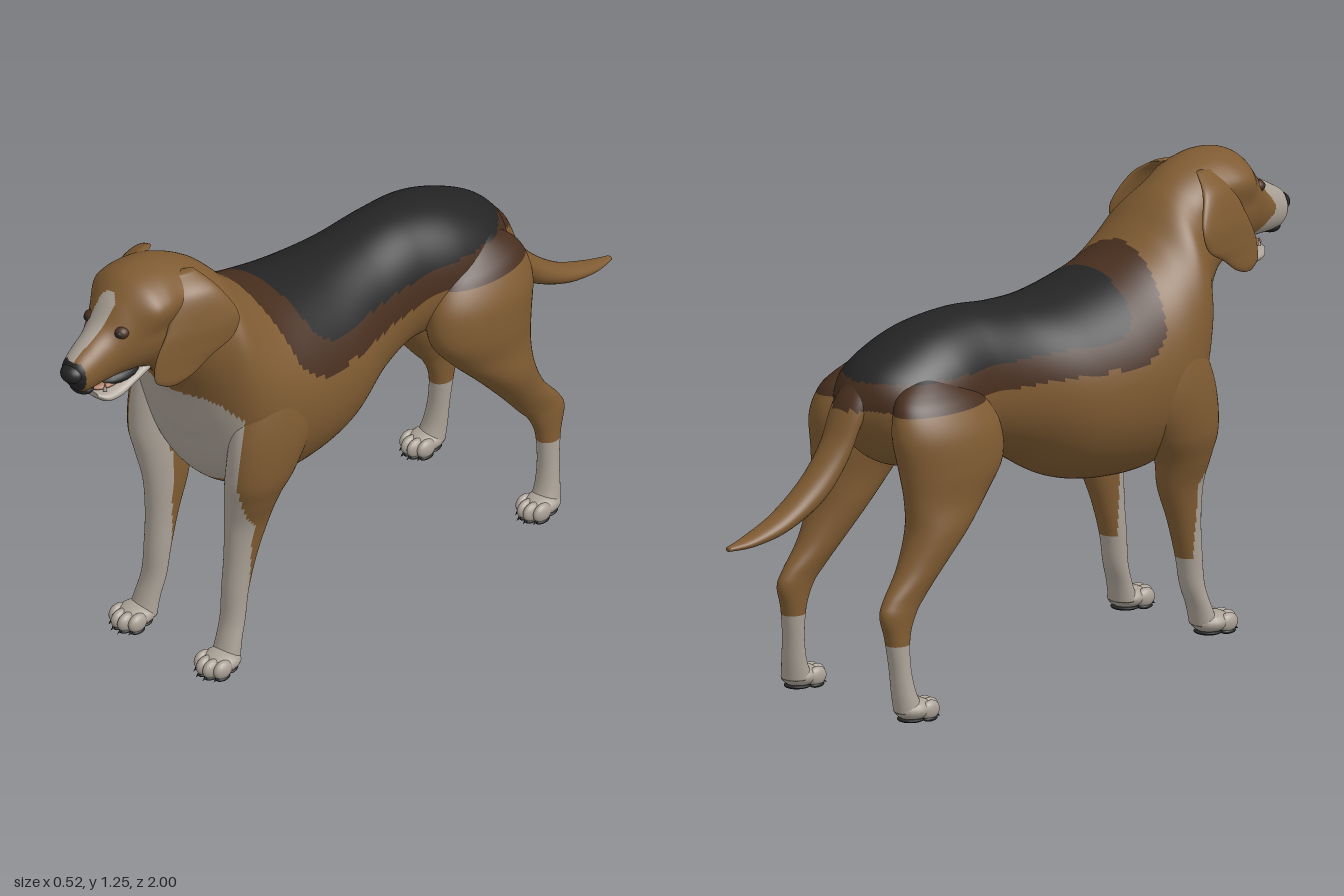
import * as THREE from 'three';

const mat = (name, color) => Object.assign(new THREE.MeshStandardMaterial({ color }), { name });
const tan = mat('tan coat', 0x7f5b32);
const white = mat('white coat', 0xaaa196);
const black = mat('black', 0x242424);
const brown = mat('dark brown', 0x472e1e);
const pink = mat('tongue', 0xa8775a);
const COAT = [tan, white, black, brown];

// Saddle outline seen from the side: a band above yMin and behind zMax with a rounded corner
function inSaddle(p, yMin, zMax, r) {
  const y = p.y - yMin, z = zMax + 0.23 * (p.y - 0.87) - p.z;
  if (y < 0 || z < 0) return false;
  return !(y < r && z < r && Math.hypot(r - y, r - z) > r);
}

// Stripe on the face, narrower and rounded at the brow, beside the nose below
function inBlaze(p) {
  if (p.z < 0.77 || p.y < 0.99) return false;
  if (p.y > 1.18) return Math.hypot(p.x + 0.002, p.y - 1.18) < 0.031;
  const left = THREE.MathUtils.mapLinear(p.y, 0.99, 1.18, -0.047, -0.032);
  return p.x > left && p.x < (p.y > 1.08 ? 0.028 : 0);
}

// Index into COAT for a point on the body
function coatAt(p) {
  const ax = Math.abs(p.x);
  if (p.z > 0.957 && p.y < 1.08) return 2;
  if (inBlaze(p)) return 1;
  if (p.y < 0.215) return 1;
  const bibTop = 0.825 - 0.06 * (Math.max(0, ax - 0.12) / 0.08) ** 2;
  if (p.z > 0.475 && ax < 0.2 && p.y < bibTop) return 1;
  if (p.z > -0.57 && inSaddle(p, 0.875, 0.237, 0.07)) return 2;
  if (inSaddle(p, 0.805, 0.335, 0.1)) return 3;
  return 0;
}

const spline = (a, b, c, d, t) =>
  0.5 * (2 * b + (c - a) * t + (2 * a - 5 * b + 4 * c - d) * t * t + (3 * b - a - 3 * c + d) * t * t * t);

// Smooth skin over sections [x, yA, zA, yB, zB, halfWidth]; A and B are opposite points of each ring
function loft(name, sections, { steps = 8, sides = 48, warp = null, material = null, side = 1 } = {}) {
  const rings = [], last = sections.length - 1;
  for (let i = 0; i < last; i++) {
    const q = [i - 1, i, i + 1, i + 2].map(k => sections[Math.min(last, Math.max(0, k))]);
    for (let k = 0; k < steps; k++) rings.push(q[0].map((_, n) => spline(q[0][n], q[1][n], q[2][n], q[3][n], k / steps)));
  }
  rings.push(sections[last]);
  // Collapsed rings close both ends
  const point = ([x, yA, zA, yB, zB]) => [x, (yA + yB) / 2, (zA + zB) / 2, (yA + yB) / 2, (zA + zB) / 2, 0];
  rings.unshift(point(rings[0]));
  rings.push(point(sections[last]));

  const verts = [];
  for (const [x, yA, zA, yB, zB, w] of rings) {
    for (let j = 0; j < sides; j++) {
      const t = (j / sides) * Math.PI * 2, c = Math.cos(t) / 2;
      const v = new THREE.Vector3(side * x + Math.sin(t) * w, (yA + yB) / 2 + c * (yA - yB), (zA + zB) / 2 + c * (zA - zB));
      if (warp) warp(v);
      verts.push(v);
    }
  }
  // Sort faces into one group per coat colour
  const faces = COAT.map(() => []);
  for (let i = 0; i < rings.length - 1; i++) {
    for (let j = 0; j < sides; j++) {
      const a = i * sides + j, b = i * sides + (j + 1) % sides, c = a + sides, d = b + sides;
      const mid = verts[a].clone().add(verts[b]).add(verts[c]).add(verts[d]).divideScalar(4);
      const list = faces[material ? 0 : coatAt(mid)];
      if (i < rings.length - 2) list.push(a, c, d);
      if (i > 0) list.push(a, d, b);
    }
  }
  const geo = new THREE.BufferGeometry().setFromPoints(verts);
  geo.setIndex(faces.flat());
  let start = 0;
  faces.forEach((f, m) => { if (f.length) geo.addGroup(start, f.length, m); start += f.length; });
  geo.computeVertexNormals();
  const mesh = new THREE.Mesh(geo, material ? [material] : COAT);
  mesh.name = name;
  return mesh;
}

function blob(name, material, pos, radii, rotX = 0) {
  const mesh = new THREE.Mesh(new THREE.SphereGeometry(1, 18, 12), material);
  mesh.name = name;
  mesh.position.set(...pos);
  mesh.scale.set(...radii);
  mesh.rotation.x = rotX;
  return mesh;
}

// Foot with four toes, claws and a dark sole
function paw(name, x, z, width) {
  const g = new THREE.Group();
  g.name = name;
  g.add(blob('foot', white, [0, 0.034, -0.012], [width, 0.029, 0.055]));
  for (let i = 0; i < 4; i++) {
    const u = i / 1.5 - 1, reach = 0.036 - 0.018 * u * u;
    g.add(blob('toe', white, [u * width * 0.72, 0.031, reach], [width * 0.34, 0.026, 0.031]));
    const claw = new THREE.Mesh(new THREE.ConeGeometry(0.006, 0.022, 8), black);
    claw.name = 'claw';
    claw.position.set(u * width * 0.74, 0.013, reach + 0.026);
    claw.rotation.x = 2.1;
    g.add(claw);
    g.add(blob('toePad', black, [u * width * 0.72, 0.008, reach], [width * 0.28, 0.008, 0.024]));
  }
  g.add(blob('solePad', black, [0, 0.008, -0.02], [width * 0.78, 0.008, 0.038]));
  g.position.set(x, 0, z);
  return g;
}

// Broadens the crown of the skull between the ears
function broadenSkull(v) {
  const s = THREE.MathUtils.smoothstep;
  v.x *= 1 + 0.34 * s(v.y, 1.1, 1.2) * s(v.z, 0.53, 0.63) * (1 - s(v.z, 0.74, 0.83));
}

export function createModel() {
  const dog = new THREE.Group();
  dog.name = 'dog';

  // Trunk, neck and head: A is the top line, B the underside
  dog.add(loft('bodyAndHead', [
    [0.01, 0.81, -0.6, 0.71, -0.555, 0.04],
    [0, 0.885, -0.555, 0.65, -0.5, 0.12],
    [0, 0.935, -0.48, 0.62, -0.42, 0.17],
    [0, 0.985, -0.35, 0.62, -0.3, 0.178],
    [0, 1.002, -0.2, 0.615, -0.18, 0.165],
    [0, 0.988, -0.05, 0.57, -0.05, 0.185],
    [0, 0.985, 0.1, 0.487, 0.1, 0.232],
    [0, 1.01, 0.25, 0.455, 0.25, 0.253],
    [0, 1.045, 0.35, 0.46, 0.4, 0.252],
    [0, 1.1, 0.42, 0.53, 0.5, 0.235],
    [0, 1.15, 0.47, 0.68, 0.555, 0.208],
    [0, 1.185, 0.51, 0.82, 0.595, 0.162],
    [0, 1.222, 0.57, 0.91, 0.66, 0.125],
    [0, 1.245, 0.64, 0.95, 0.72, 0.112],
    [0.003, 1.249, 0.7, 0.968, 0.76, 0.112],
    [0.006, 1.238, 0.76, 0.975, 0.79, 0.105],
    [0.01, 1.2, 0.81, 0.98, 0.82, 0.087],
    [0.014, 1.145, 0.86, 0.98, 0.87, 0.065],
    [0.018, 1.11, 0.92, 0.98, 0.925, 0.054],
    [0.021, 1.083, 0.965, 0.985, 0.95, 0.044],
    [0.023, 1.055, 0.985, 1.01, 0.972, 0.024],
  ], { steps: 12, sides: 120, warp: broadenSkull }));

  // Tail, base to tip
  dog.add(loft('tail', [
    [0.005, 0.78, -0.5, 0.9, -0.53, 0.06],
    [0.01, 0.76, -0.56, 0.83, -0.6, 0.056],
    [0.013, 0.66, -0.61, 0.725, -0.65, 0.05],
    [0.016, 0.57, -0.69, 0.64, -0.72, 0.047],
    [0.02, 0.512, -0.81, 0.565, -0.82, 0.04],
    [0.022, 0.493, -0.92, 0.523, -0.925, 0.028],
    [0.022, 0.495, -0.998, 0.507, -0.998, 0.009],
  ], { steps: 8, sides: 32 }));

  for (const side of [1, -1]) {
    const label = side > 0 ? 'left' : 'right';

    // Legs, top to bottom: A is the front edge, B the back edge
    dog.add(loft(label + 'FrontLeg', [
      [0.15, 0.9, 0.45, 0.9, 0.34, 0.04],
      [0.17, 0.82, 0.49, 0.82, 0.29, 0.068],
      [0.183, 0.7, 0.53, 0.7, 0.26, 0.078],
      [0.18, 0.58, 0.543, 0.58, 0.32, 0.074],
      [0.165, 0.5, 0.533, 0.5, 0.365, 0.063],
      [0.15, 0.42, 0.523, 0.42, 0.385, 0.05],
      [0.145, 0.32, 0.52, 0.32, 0.425, 0.041],
      [0.143, 0.22, 0.526, 0.22, 0.455, 0.037],
      [0.145, 0.14, 0.532, 0.14, 0.47, 0.036],
      [0.15, 0.08, 0.55, 0.08, 0.49, 0.038],
      [0.153, 0.03, 0.57, 0.03, 0.5, 0.042],
    ], { side }));
    dog.add(paw(label + 'FrontPaw', side * 0.157, 0.567, 0.05));

    dog.add(loft(label + 'HindLeg', [
      [0.1, 0.89, -0.36, 0.89, -0.46, 0.035],
      [0.125, 0.85, -0.3, 0.85, -0.52, 0.055],
      [0.143, 0.81, -0.255, 0.81, -0.55, 0.072],
      [0.157, 0.74, -0.215, 0.74, -0.563, 0.09],
      [0.167, 0.65, -0.215, 0.65, -0.548, 0.089],
      [0.175, 0.57, -0.275, 0.57, -0.538, 0.077],
      [0.183, 0.49, -0.355, 0.49, -0.54, 0.073],
      [0.187, 0.4, -0.44, 0.4, -0.58, 0.053],
      [0.191, 0.33, -0.5, 0.33, -0.638, 0.036],
      [0.194, 0.29, -0.535, 0.29, -0.655, 0.032],
      [0.196, 0.23, -0.562, 0.23, -0.638, 0.03],
      [0.201, 0.15, -0.567, 0.15, -0.625, 0.03],
      [0.207, 0.08, -0.555, 0.08, -0.62, 0.034],
      [0.212, 0.03, -0.53, 0.03, -0.615, 0.04],
    ], { side }));
    dog.add(paw(label + 'HindPaw', side * 0.214, -0.548, 0.045));

    // Hanging ear, growing out of the crown and flared outward at the back
    dog.add(loft(label + 'Ear', [
      [0.03, 1.222, 0.645, 1.222, 0.58, 0.012],
      [0.078, 1.18, 0.675, 1.18, 0.55, 0.02],
      [0.106, 1.1, 0.715, 1.1, 0.512, 0.018],
      [0.114, 1.04, 0.748, 1.04, 0.53, 0.015],
      [0.117, 0.995, 0.76, 1.0, 0.595, 0.013],
      [0.12, 0.962, 0.756, 0.962, 0.65, 0.011],
      [0.121, 0.945, 0.73, 0.945, 0.69, 0.006],
    ], { side, material: tan, warp: v => { v.x += side * (0.76 - v.z) * 0.28; } }));

    // Sunken eye with a dark rim
    dog.add(blob(label + 'EyeRim', brown, [0.011 + side * 0.054, 1.13, 0.829], [0.022, 0.018, 0.021]));
    dog.add(blob(label + 'Eye', black, [0.011 + side * 0.057, 1.13, 0.839], [0.013, 0.011, 0.013]));

    const tooth = new THREE.Mesh(new THREE.ConeGeometry(0.006, 0.024, 8), white);
    tooth.name = label + 'Tooth';
    tooth.position.set(0.014 + side * 0.027, 0.966, 0.865);
    dog.add(tooth);
  }

  // Nose and open mouth
  dog.add(blob('nose', black, [0.024, 1.047, 0.967], [0.034, 0.026, 0.031]));
  dog.add(blob('upperLip', black, [0.021, 0.99, 0.93], [0.036, 0.018, 0.028]));
  dog.add(blob('mouthInside', black, [0.01, 0.968, 0.79], [0.043, 0.022, 0.075]));
  dog.add(blob('tongue', pink, [0.012, 0.96, 0.835], [0.031, 0.012, 0.056]));
  dog.add(loft('lowerJaw', [
    [0.005, 0.985, 0.71, 0.945, 0.71, 0.05],
    [0.007, 0.968, 0.77, 0.928, 0.775, 0.053],
    [0.009, 0.955, 0.82, 0.912, 0.82, 0.052],
    [0.011, 0.95, 0.865, 0.915, 0.86, 0.045],
    [0.012, 0.952, 0.888, 0.933, 0.884, 0.026],
  ], { material: white }));

  dog.add(blob('sheath', tan, [0, 0.582, -0.135], [0.022, 0.026, 0.07], 0.45));
  return dog;
}
